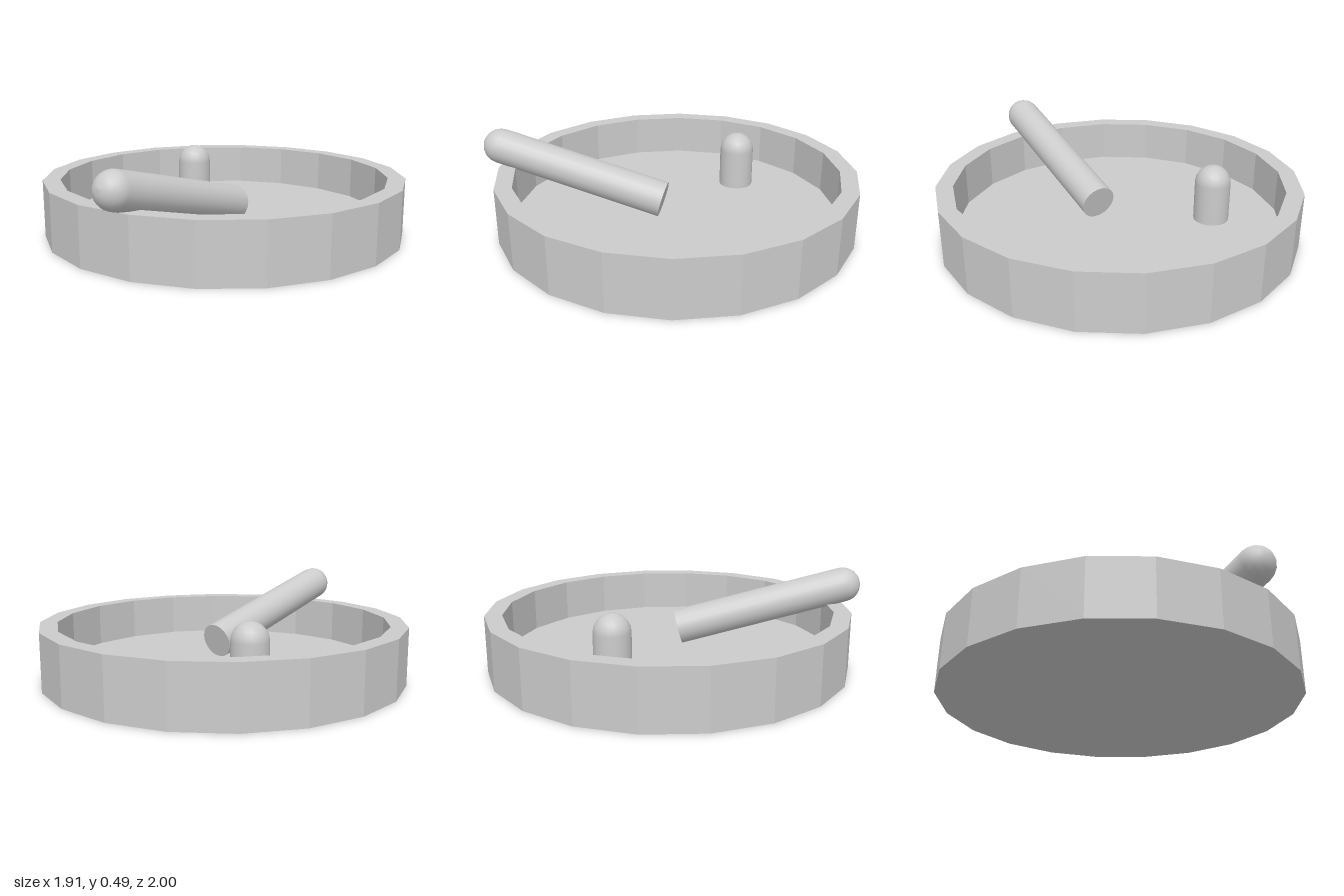
import * as THREE from 'three';

const FLOOR = 0.075;

function material(flatShading = false) {
  return new THREE.MeshStandardMaterial({ color: 0xcccccc, flatShading });
}

// Round rod from a flat end at `from` to a dome centred on `to`
function domedRod(name, from, to, radius) {
  const axis = to.clone().sub(from);
  const length = axis.length();
  const group = new THREE.Group();
  group.name = name;

  const profile = [new THREE.Vector2(radius, 0)];
  for (let i = 0; i <= 5; i++) {
    const a = (i / 5) * Math.PI / 2;
    profile.push(new THREE.Vector2(i === 5 ? 0 : radius * Math.cos(a), length + radius * Math.sin(a)));
  }
  const body = new THREE.Mesh(new THREE.LatheGeometry(profile, 20), material());
  body.name = name + 'Body';

  const end = new THREE.Mesh(new THREE.CircleGeometry(radius, 20), material());
  end.rotation.x = Math.PI / 2;
  end.name = name + 'FlatEnd';

  group.add(body, end);
  group.position.copy(from);
  group.quaternion.setFromUnitVectors(new THREE.Vector3(0, 1, 0), axis.normalize());
  return group;
}

export function createModel() {
  const model = new THREE.Group();
  model.name = 'dishWithRods';

  // Shallow 20-sided dish: base, outer wall, rim, inner wall, floor
  const outer = 0.956, inner = 0.866, height = 0.3;
  const profile = [
    [0, 0], [outer, 0], [outer, height], [inner, height], [inner, FLOOR], [0, FLOOR],
  ].map(([x, y]) => new THREE.Vector2(x, y));
  const dish = new THREE.Mesh(new THREE.LatheGeometry(profile, 20), material(true));
  dish.name = 'dish';
  dish.position.z = -0.044;
  model.add(dish);

  // Upright peg standing on the floor
  model.add(domedRod('peg',
    new THREE.Vector3(-0.36, FLOOR, -0.385), new THREE.Vector3(-0.36, 0.286, -0.385), 0.094));

  // Rod leaning from the floor over the front rim
  model.add(domedRod('leaningRod',
    new THREE.Vector3(0.086, 0.164, 0.025), new THREE.Vector3(-0.072, 0.397, 0.906), 0.094));

  return model;
}
